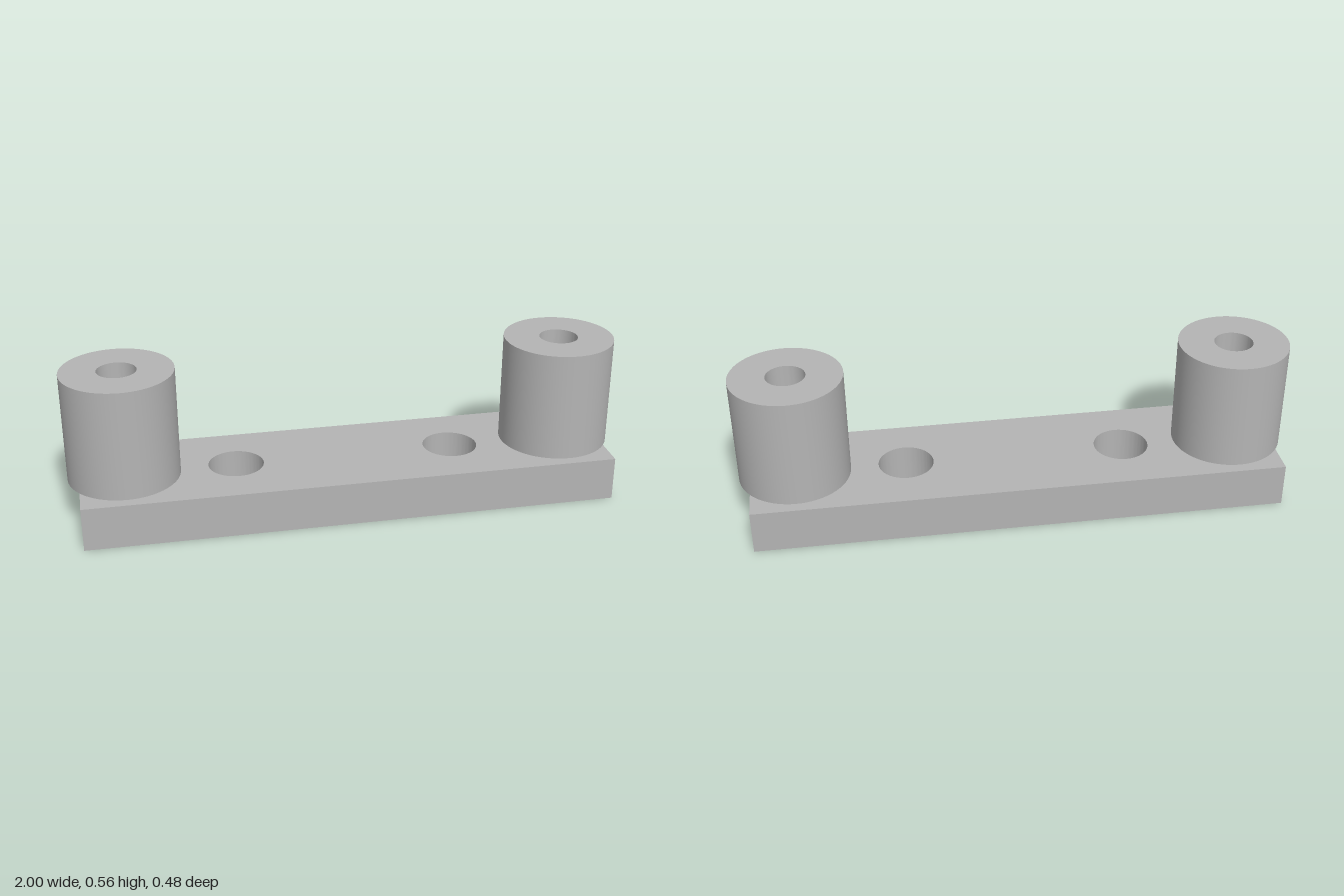
import * as THREE from 'three';
import { toCreasedNormals } from 'three/addons/utils/BufferGeometryUtils.js';

const PLATE_HEIGHT = 0.16;
const POST_HEIGHT = 0.4;

// Flat bar with two through holes
function createPlate(material) {
  const shape = new THREE.Shape();
  shape.moveTo(-0.96, -0.24);
  shape.lineTo(0.96, -0.24);
  shape.lineTo(0.96, 0.24);
  shape.lineTo(-0.96, 0.24);
  shape.closePath();
  for (const x of [-0.4, 0.4]) {
    const hole = new THREE.Path();
    hole.absarc(x, 0, 0.1, 0, Math.PI * 2, true);
    shape.holes.push(hole);
  }
  const geometry = new THREE.ExtrudeGeometry(shape, {
    depth: PLATE_HEIGHT, bevelEnabled: false, curveSegments: 48,
  });
  geometry.rotateX(-Math.PI / 2);
  const plate = new THREE.Mesh(toCreasedNormals(geometry, 0.6), material);
  plate.name = 'basePlate';
  return plate;
}

// Hollow post; the plate closes the bottom of its bore
function createPostGeometry() {
  const profile = [
    [0.07, 0], [0.2, 0], [0.2, POST_HEIGHT], [0.07, POST_HEIGHT], [0.07, 0],
  ].map(([r, y]) => new THREE.Vector2(r, y));
  return toCreasedNormals(new THREE.LatheGeometry(profile, 64), 0.6);
}

export function createModel() {
  const metal = new THREE.MeshStandardMaterial({ color: 0xb4b4b4 });
  metal.name = 'grey metal';

  const model = new THREE.Group();
  model.name = 'mountingBracket';
  model.add(createPlate(metal));

  // Matching posts overhang both ends of the plate
  const postGeometry = createPostGeometry();
  for (const side of [-1, 1]) {
    const post = new THREE.Mesh(postGeometry, metal);
    post.name = side > 0 ? 'leftPost' : 'rightPost';
    post.position.set(side * 0.8, PLATE_HEIGHT, 0);
    model.add(post);
  }
  return model;
}
